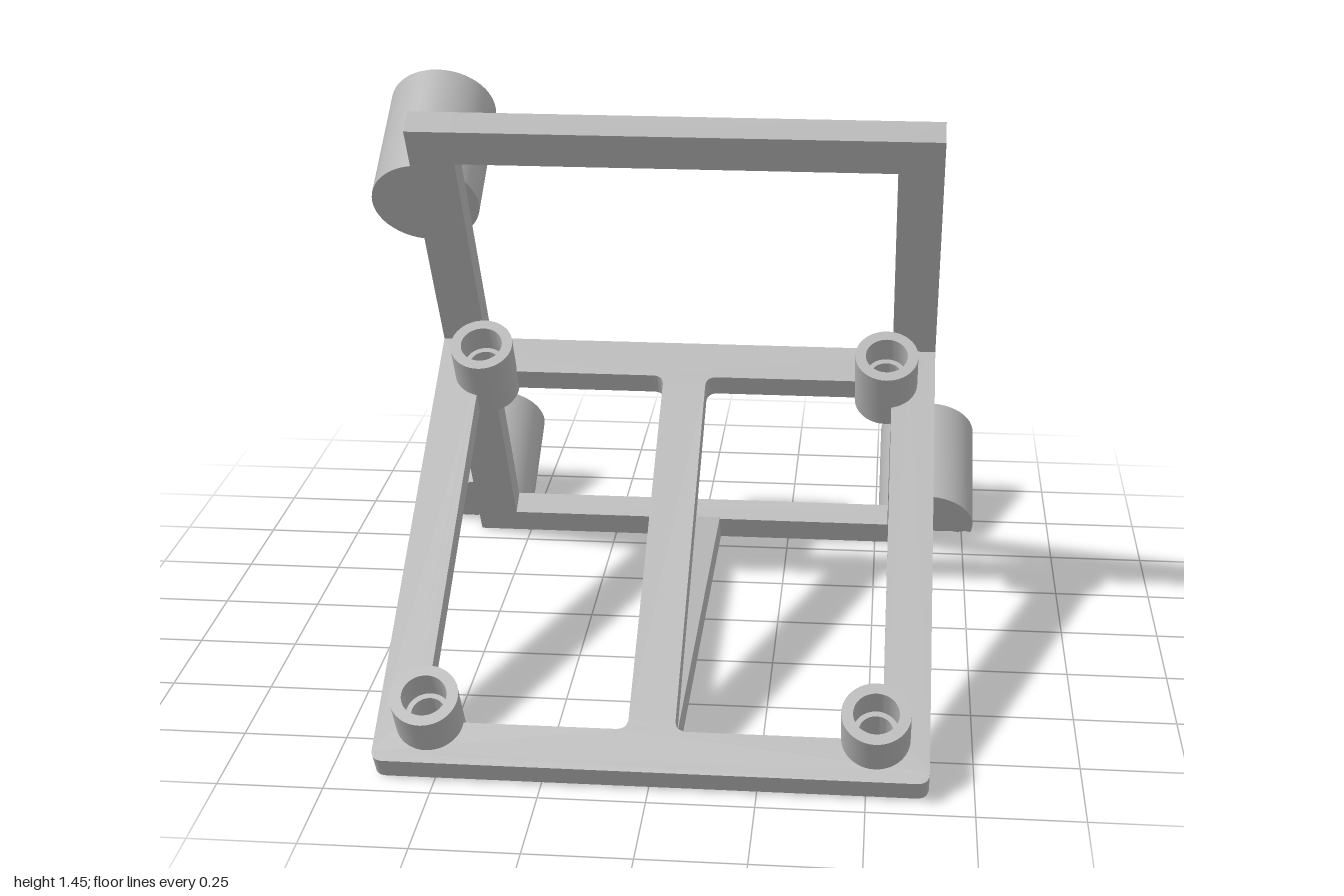
import * as THREE from 'three';
import { toCreasedNormals } from 'three/addons/utils/BufferGeometryUtils.js';

const TILT = THREE.MathUtils.degToRad(32.75);
const C = Math.cos(TILT), S = Math.sin(TILT);
const LEAN = TILT - Math.PI / 2;   // turns local y to the rear-up direction, local z to the frame direction
const W = 0.645, BAR = 0.11, T = 0.068;

export function createModel() {
  const model = new THREE.Group();
  model.name = 'tiltedStand';
  const grey = new THREE.MeshStandardMaterial({ color: 0xb4b4b4 });
  grey.name = 'grey';

  const add = (name, geometry, parent = model) => {
    const mesh = new THREE.Mesh(geometry, grey);
    mesh.name = name;
    parent.add(mesh);
    return mesh;
  };

  // Side profile of [z, y] points, extruded from x0 to x1
  const prism = (points, x0, x1) => {
    const shape = new THREE.Shape(points.map(([z, y]) => new THREE.Vector2(-z, y)));
    return new THREE.ExtrudeGeometry(shape, { depth: x1 - x0, bevelEnabled: false })
      .rotateY(Math.PI / 2).translate(x0, 0, 0);
  };
  const turned = (profile) =>
    new THREE.LatheGeometry(profile.map(([r, y]) => new THREE.Vector2(r, y)), 48);

  // Leaning back frame: s runs up the frame, t through its thickness; cut flat at the floor
  const at = (s, t) => [-0.572 + S * s - C * t, C * s + S * t];
  const TOP = 1.66, foot = -T * S / C;
  const slab = (s0, s1, rear0 = s0) => [at(s0, 0), at(s1, 0), at(s1, T), at(rear0, T)];
  for (const side of [-1, 1]) {
    const x = side * (W - BAR / 2);
    add('backFrameRail', prism(slab(0, TOP, foot), x - BAR / 2, x + BAR / 2));
  }
  add('backFrameTopBar', prism(slab(TOP - BAR, TOP), BAR - W, W - BAR));
  add('backFrameBottomBar', prism(slab(0, 0.087, foot), BAR - W, W - BAR));

  // Floor strut joining the frame and the platform
  add('floorStrut', prism([[0.926, 0], [0.805, 0.078], [-0.525, 0.078], [-0.572, 0]], -0.055, 0.055));

  // Large sockets on the rear of the frame; the lower ones are cut flat at the floor
  const socketProfile = [];
  for (let i = 0; i <= 8; i++) socketProfile.push([0.136 * i / 8, 0]);
  socketProfile.push([0.136, 0.337], [0.105, 0.337], [0.105, 0.267], [0.09, 0.267], [0.09, 0.24], [0, 0.24]);
  const socket = (x, y, z) => {
    const g = turned(socketProfile).rotateX(LEAN).translate(x, y, z);
    const p = g.attributes.position;
    for (let i = 0; i < p.count; i++) {
      const below = -p.getY(i);
      if (below > 0) p.setXYZ(i, p.getX(i), 0, p.getZ(i) - below * C / S);
    }
    return toCreasedNormals(g, 0.6);
  };
  add('lowerRightSocket', socket(-W, 0.032, -0.641));
  add('lowerLeftSocket', socket(W, 0.032, -0.641));
  add('upperSocket', socket(-W, 1.157, 0.088));

  // Sloping platform, drawn flat and tilted as a group
  const platform = new THREE.Group();
  platform.name = 'platform';
  platform.position.set(0, 0, 0.926);
  platform.rotation.x = LEAN;
  model.add(platform);

  const L = 1.266, r = 0.03, bx = 0.52, bv = 0.113, R = 0.06, inner = W - BAR;
  const plate = new THREE.Shape();
  plate.moveTo(r - W, 0);
  plate.lineTo(W - r, 0);
  plate.quadraticCurveTo(W, 0, W, r);
  plate.lineTo(W, L);
  plate.lineTo(-W, L);
  plate.lineTo(-W, r);
  plate.quadraticCurveTo(-W, 0, r - W, 0);

  // Window outline: rounded by the rib, cut around the bosses at the outer corners
  const turn = Math.acos((inner - bx) / R);
  const win = new THREE.Path();
  win.moveTo(0.055 + r, BAR);
  win.absarc(bx, bv, R, Math.PI + 0.05, 2 * Math.PI + turn, false);
  win.absarc(bx, L - bv, R, -turn, Math.PI - 0.05, false);
  win.lineTo(0.055 + r, L - BAR);
  win.quadraticCurveTo(0.055, L - BAR, 0.055, L - BAR - r);
  win.lineTo(0.055, BAR + r);
  win.quadraticCurveTo(0.055, BAR, 0.055 + r, BAR);
  const outline = win.getPoints(16);
  for (const side of [-1, 1]) {
    plate.holes.push(new THREE.Path(outline.map((p) => new THREE.Vector2(side * p.x, p.y))));
  }
  add('platformPlate', toCreasedNormals(
    new THREE.ExtrudeGeometry(plate, { depth: T, bevelEnabled: false, curveSegments: 8 }), 0.6), platform);

  // Corner bosses with a stepped through hole
  const bossGeometry = toCreasedNormals(turned([
    [0.04, 0], [0.08, 0], [0.08, 0.18], [0.053, 0.18], [0.053, 0.1], [0.04, 0.1], [0.04, 0],
  ]).rotateX(Math.PI / 2), 0.6);
  for (const x of [-bx, bx]) {
    for (const v of [bv, L - bv]) {
      add('cornerBoss', bossGeometry, platform).position.set(x, v, 0);
    }
  }
  return model;
}
